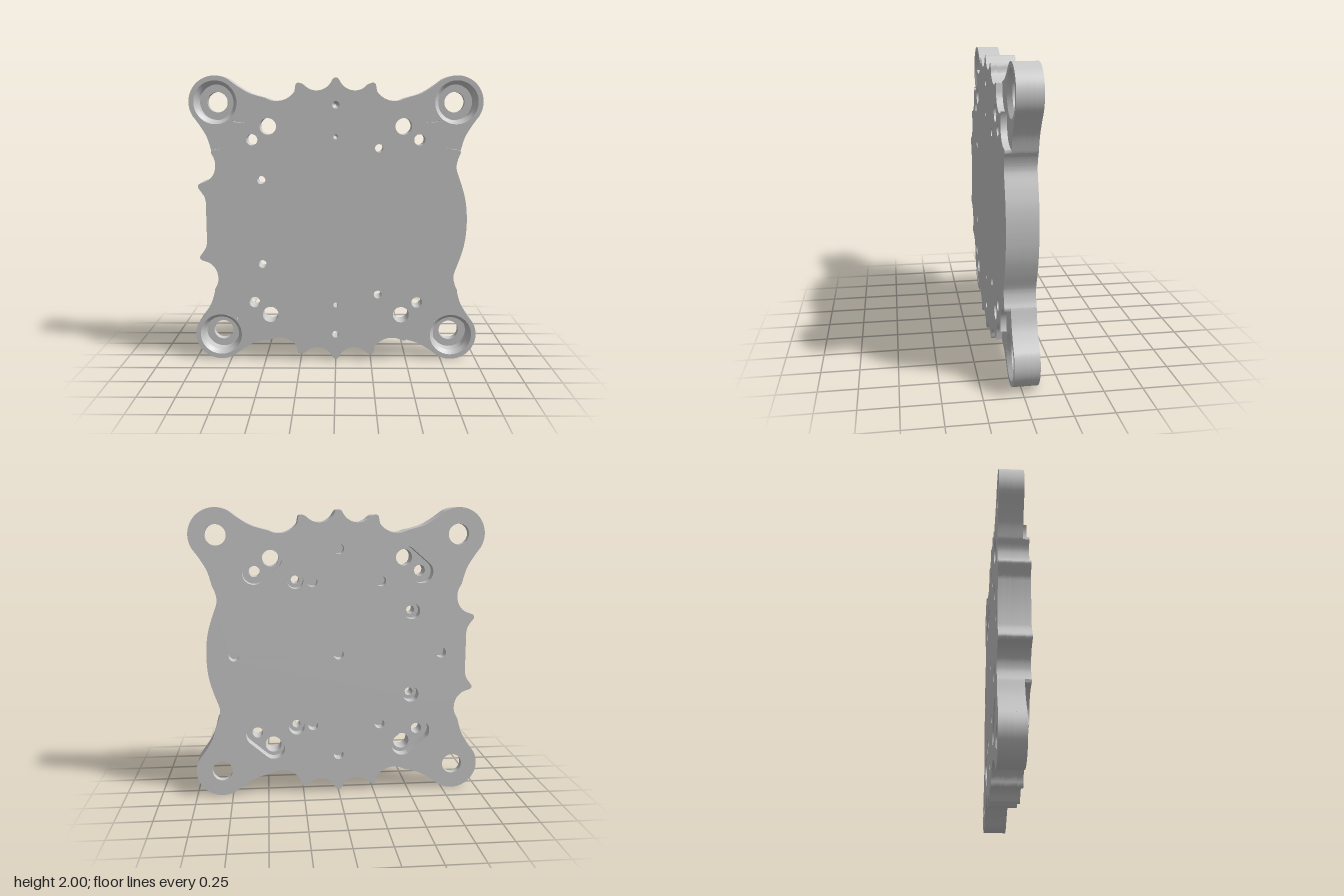
import * as THREE from 'three';
import { toCreasedNormals } from 'three/addons/utils/BufferGeometryUtils.js';

const material = new THREE.MeshStandardMaterial({ color: 0xcccccc });
const doubleSided = new THREE.MeshStandardMaterial({ color: 0xcccccc, side: THREE.DoubleSide });
const rad = THREE.MathUtils.degToRad;
const signs = [-1, 1];

// Points along a circular arc, angles in degrees
function arc(cx, cy, r, a0, a1, n) {
  return Array.from({ length: n + 1 }, (_, i) => {
    const a = rad(a0 + ((a1 - a0) * i) / n);
    return [cx + r * Math.cos(a), cy + r * Math.sin(a)];
  });
}

// Smooth curve through points
function smooth(points, n) {
  const curve = new THREE.SplineCurve(points.map(([x, y]) => new THREE.Vector2(x, y)));
  return curve.getPoints(n).map((p) => [p.x, p.y]);
}

const map = (pts, sx, sy) => pts.map(([x, y]) => [x * sx, y * sy]);
const swap = (pts) => pts.map(([x, y]) => [y, x]).reverse();
const rev = (pts) => [...pts].reverse();

// Scalloped top edge, left to right
const topHalf = [
  [-0.48, 0.851], [-0.46, 0.844],
  ...arc(-0.4, 0.98, 0.15, 255, 325, 14),
  [-0.273, 0.92], [-0.27, 0.937], [-0.264, 0.947], [-0.253, 0.951], [-0.24, 0.95], [-0.228, 0.946],
  ...arc(-0.13, 1.015, 0.115, 221, 330, 16),
  [-0.022, 0.973], [-0.014, 0.982], [-0.005, 0.985],
];
const topEdge = [...topHalf, ...rev(map(topHalf, -1, 1))];

// Bulging right edge, top to bottom
const rightHalf = smooth([[0.851, 0.48], [0.837, 0.45], [0.827, 0.415], [0.824, 0.385], [0.83, 0.35],
  [0.862, 0.26], [0.888, 0.17], [0.901, 0.085], [0.905, 0]], 48);
const rightEdge = [...rightHalf, ...rev(map(rightHalf, 1, -1)).slice(1)];

// Left edge with two hooked teeth and a flat middle, bottom to top
const leftHalf = [
  ...smooth([[-0.851, 0.48], [-0.832, 0.445], [-0.823, 0.4], [-0.835, 0.34], [-0.875, 0.292], [-0.935, 0.268]], 24),
  ...smooth([[-0.946, 0.258], [-0.945, 0.24], [-0.92, 0.205], [-0.902, 0.175], [-0.895, 0.14]], 12),
];
const leftEdge = [...map(leftHalf, 1, -1), ...rev(leftHalf)];

// Corner as a rounded mounting ear
const earFlank = smooth([[0.48, 0.851], [0.58, 0.88], [0.66, 0.925], [0.73, 0.976]], 14);
const ear = [...earFlank, ...arc(0.82, 0.82, 0.18, 120, -30, 36), ...swap(earFlank)];

// Corner as a stepped-back pocket made of two arcs
const pocketHalf = [[0.48, 0.851], [0.498, 0.848], ...arc(0.64, 0.82, 0.137, 188, 296, 18)];
const pocket = [...pocketHalf, ...swap(pocketHalf)];

// Whole outline, clockwise
function plateShape(corner) {
  const pts = [
    ...topEdge, ...corner,
    ...rightEdge, ...rev(map(corner, 1, -1)),
    ...rev(map(topEdge, 1, -1)), ...map(corner, -1, -1),
    ...leftEdge, ...rev(map(corner, -1, 1)),
  ].map(([x, y]) => new THREE.Vector2(x, y));
  return new THREE.Shape(pts.filter((p, i) => p.distanceTo(pts[(i + 1) % pts.length]) > 1e-4));
}

// Round hole path, counter-clockwise against the clockwise outline
function hole(x, y, r) {
  return new THREE.Path().absarc(x, y, r, 0, Math.PI * 2, false);
}

// Slot path between two centres
function slot(x0, y0, x1, y1, r) {
  const a = Math.atan2(y1 - y0, x1 - x0);
  return new THREE.Path()
    .absarc(x1, y1, r, a - Math.PI / 2, a + Math.PI / 2, false)
    .absarc(x0, y0, r, a + Math.PI / 2, a + Math.PI * 1.5, false);
}

// Hole groups, mirrored top and bottom
const corners = signs.flatMap((sx) => signs.map((sy) => [sx, sy]));
const pins = signs.flatMap((s) => [[0, 0.805 * s, 0.025], [0, 0.59 * s, 0.017]]);
const earHoles = (r) => corners.map(([sx, sy]) => hole(0.82 * sx, 0.82 * sy, r));
const boltHoles = (r) => signs.flatMap((s) => [hole(0.295, 0.513 * s, r), hole(-0.51, 0.295 * s, r)]);
const pairHoles = () => corners.flatMap(([sx, sy]) => [
  hole(0.46 * sx, 0.66 * sy, 0.056), hole(0.57 * sx, 0.57 * sy, 0.038)]);
const frontPins = () => pins.map(([x, y, r]) => hole(x, y, r));
const backPins = () => [
  hole(0, 0, 0.035), hole(0.72, 0, 0.035), hole(-0.72, 0, 0.035),
  ...signs.flatMap((s) => [hole(0.18, 0.505 * s, 0.035), hole(-0.29, 0.505 * s, 0.035), hole(0, 0.725 * s, 0.035)]),
];
const backSlots = () => corners.map(([sx, sy]) => slot(0.457 * sx, 0.665 * sy, 0.573 * sx, 0.565 * sy, 0.077));

export function createModel() {
  const group = new THREE.Group();
  group.name = 'mountingPlate';
  const body = new THREE.Group();
  body.name = 'plate';
  body.position.y = 1;
  group.add(body);

  function add(name, geometry, mat, x = 0, y = 0) {
    const mesh = new THREE.Mesh(geometry, mat);
    mesh.name = name;
    mesh.position.set(x, y, 0);
    body.add(mesh);
  }

  // Plate built in layers, so each bore ends at its own depth
  const backBores = () => [...boltHoles(0.055), ...backPins(), ...backSlots()];
  const layers = [
    ['frontFace', pocket, 0.06, 0.1, [...boltHoles(0.028), ...pairHoles(), ...frontPins()]],
    ['plateCore', ear, -0.02, 0.06, [...boltHoles(0.028), ...pairHoles(), ...frontPins(), ...earHoles(0.147)]],
    ['recessLayer', ear, -0.05, -0.02, [...backBores(), ...earHoles(0.122)]],
    ['backFace', ear, -0.1, -0.05, [...backBores(), ...earHoles(0.07)]],
  ];
  for (const [name, corner, z0, z1, holes] of layers) {
    const shape = plateShape(corner);
    shape.holes.push(...holes);
    const geometry = new THREE.ExtrudeGeometry(shape, { depth: z1 - z0, bevelEnabled: false, curveSegments: 28 });
    geometry.translate(0, 0, z0);
    add(name, toCreasedNormals(geometry, rad(40)), material);
  }

  // Turned surface around the z axis from radius and depth pairs
  function turned(profile) {
    const points = profile.map(([r, z]) => new THREE.Vector2(r, z));
    return toCreasedNormals(new THREE.LatheGeometry(points, 40), rad(20)).rotateX(Math.PI / 2);
  }

  // Tapered lining of the ear counterbores
  const lining = turned([[0.122, -0.02], [0.122, 0.03], [0.147, 0.06]]);
  for (const [sx, sy] of corners) add('counterboreLining', lining, doubleSided, 0.82 * sx, 0.82 * sy);

  // Drill-point bottoms of the front pin holes
  for (const [x, y, r] of pins) add('pinHoleBottom', turned([[0, -0.018], [r, -0.018 + r]]), doubleSided, x, y);

  return group;
}
